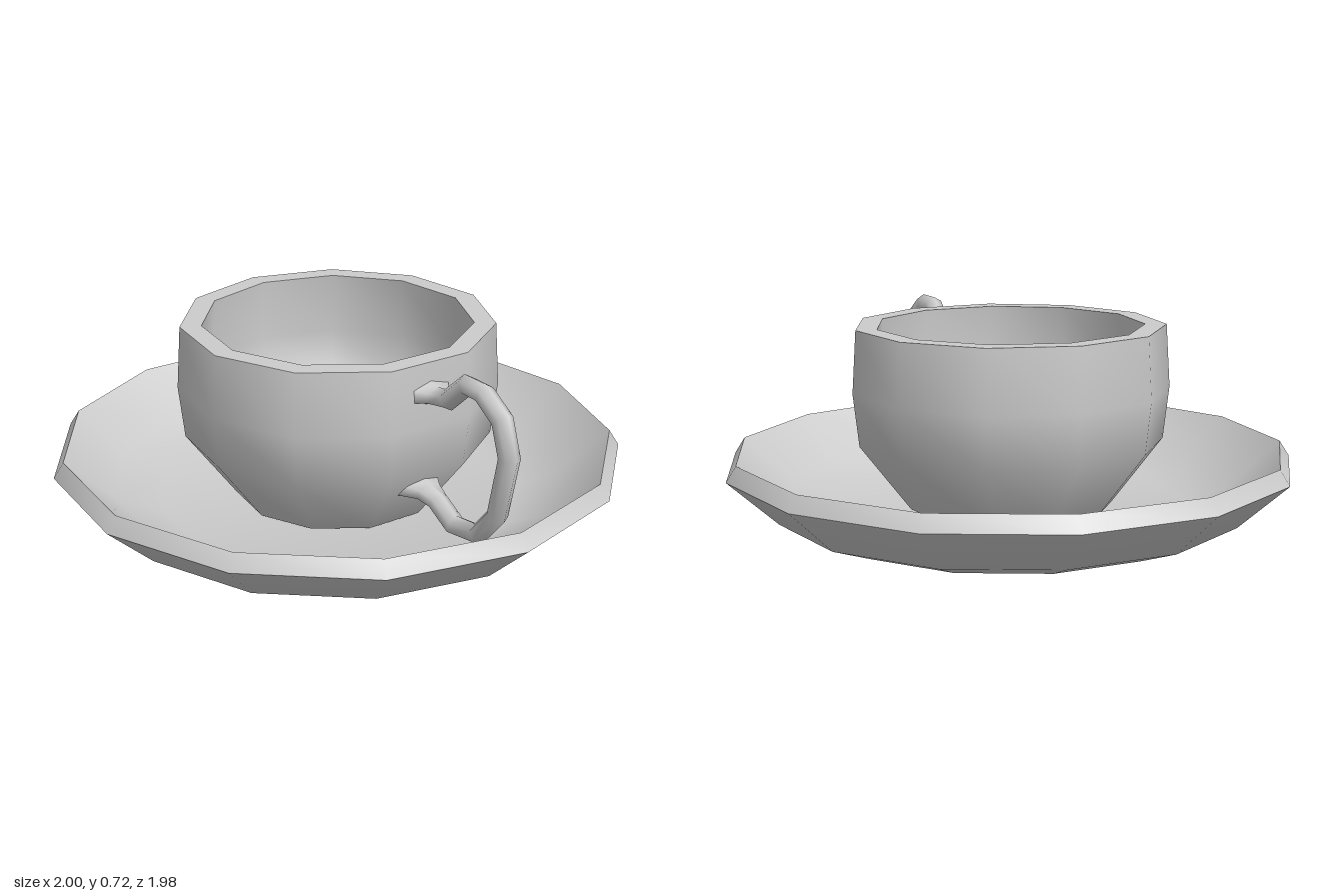
import * as THREE from 'three';
import { toCreasedNormals } from 'three/addons/utils/BufferGeometryUtils.js';

const material = new THREE.MeshStandardMaterial({ color: 0xcccccc });

// Closed turned body from a [radius, height] profile, smooth except at sharp rims
function turned(name, profile, sides) {
  const points = profile.map(([r, y]) => new THREE.Vector2(r, y));
  const geometry = toCreasedNormals(new THREE.LatheGeometry(points, sides), 0.87);
  const mesh = new THREE.Mesh(geometry, material);
  mesh.name = name;
  return mesh;
}

// Tube through [x, y, half thickness, half width] stations in the xy plane
function sweptTube(name, stations, sides) {
  const positions = [];
  const index = [];
  const at = (i) => stations[Math.min(Math.max(i, 0), stations.length - 1)];
  stations.forEach(([x, y, thick, wide], i) => {
    const tangent = new THREE.Vector2(at(i + 1)[0] - at(i - 1)[0], at(i + 1)[1] - at(i - 1)[1]).normalize();
    for (let j = 0; j < sides; j++) {
      const a = (j / sides) * Math.PI * 2;
      const c = Math.cos(a) * thick;
      positions.push(x - tangent.y * c, y + tangent.x * c, Math.sin(a) * wide);
      if (i < stations.length - 1) {
        const p = i * sides + j;
        const q = i * sides + ((j + 1) % sides);
        index.push(p, q, p + sides, q, q + sides, p + sides);
      }
    }
  });
  const geometry = new THREE.BufferGeometry();
  geometry.setAttribute('position', new THREE.Float32BufferAttribute(positions, 3));
  geometry.setIndex(index);
  geometry.computeVertexNormals();
  const mesh = new THREE.Mesh(geometry, material);
  mesh.name = name;
  return mesh;
}

export function createModel() {
  const model = new THREE.Group();
  model.name = 'cupAndSaucer';
  const set = new THREE.Group();
  set.name = 'teaSet';
  set.position.z = -0.0145;
  model.add(set);

  // Saucer: underside, bevelled rim, hollow top
  set.add(turned('saucer', [
    [0, 0], [0.665, 0], [0.83, 0.06], [1.007, 0.22], [0.972, 0.275],
    [0.8, 0.12], [0.64, 0.06], [0, 0.06],
  ], 13));

  // Cup: outer wall, flat lip, inner bowl
  set.add(turned('cup', [
    [0, 0.065], [0.36, 0.07], [0.54, 0.305], [0.561, 0.49], [0.547, 0.71],
    [0.472, 0.71], [0.488, 0.49], [0.468, 0.33], [0.31, 0.13], [0, 0.12],
  ], 11));

  // Handle: flared at both joints, centred on one facet of the cup
  const handle = sweptTube('handle', [
    [0.515, 0.605, 0.045, 0.095], [0.565, 0.605, 0.032, 0.05], [0.62, 0.61, 0.036, 0.035],
    [0.71, 0.69, 0.036, 0.035], [0.795, 0.688, 0.036, 0.035], [0.885, 0.63, 0.038, 0.035],
    [0.925, 0.515, 0.038, 0.035], [0.88, 0.305, 0.036, 0.035], [0.79, 0.2, 0.036, 0.035],
    [0.67, 0.185, 0.036, 0.035], [0.58, 0.235, 0.034, 0.035], [0.53, 0.25, 0.032, 0.05],
    [0.46, 0.255, 0.045, 0.095],
  ], 6);
  handle.rotation.y = -Math.PI / 22;
  set.add(handle);

  return model;
}
